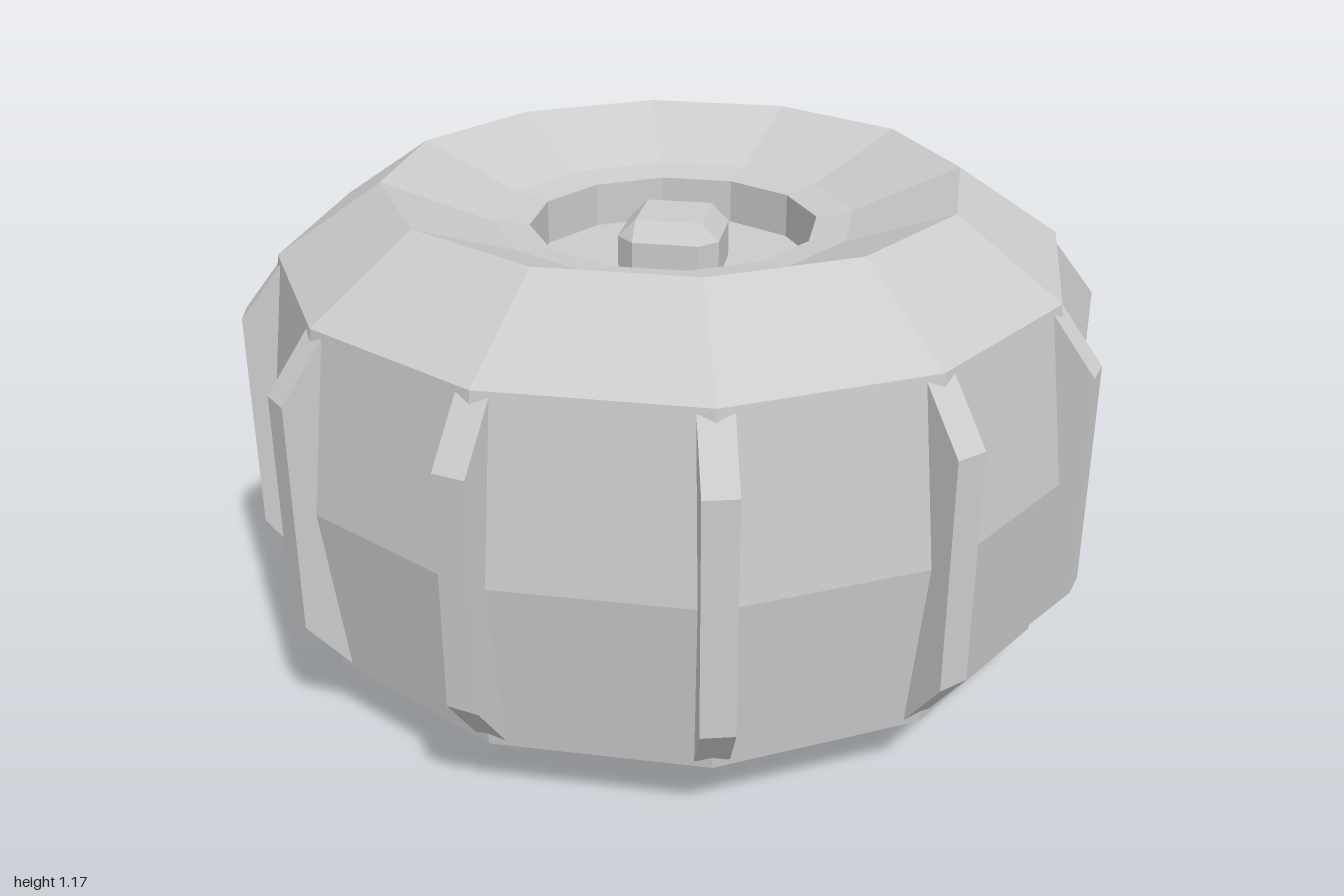
import * as THREE from 'three';
import { ConvexGeometry } from 'three/addons/geometries/ConvexGeometry.js';

const SIDES = 12;
const MID = 0.585; // half of the height
const material = new THREE.MeshStandardMaterial({ color: 0xcccccc, flatShading: true });

function part(name, geometry) {
  const mesh = new THREE.Mesh(geometry, material);
  mesh.name = name;
  return mesh;
}

// Twelve-sided ring; the profile gives flat-to-centre distances and heights above the middle
function lathe(profile) {
  const k = 1 / Math.cos(Math.PI / SIDES);
  const points = profile.map(([r, y]) => new THREE.Vector2(r * k, y));
  return new THREE.LatheGeometry(points, SIDES, Math.PI / SIDES);
}

// Box with every edge cut at 45 degrees
function chamferedBox(x, y, z, cut) {
  const points = [];
  for (const sx of [-1, 1]) for (const sy of [-1, 1]) for (const sz of [-1, 1]) {
    for (const full of [0, 1, 2]) {
      const c = [x, y, z].map((h, i) => (i === full ? h : h - cut));
      points.push(new THREE.Vector3(sx * c[0], sy * c[1], sz * c[2]));
    }
  }
  return new ConvexGeometry(points);
}

export function createModel() {
  const model = new THREE.Group();
  model.name = 'wheel';

  // Tyre: recessed hub wall, dished sidewall, shoulder and bulging tread, mirrored top to bottom
  const upper = [[0.95, 0], [0.9, 0.415], [0.66, 0.585], [0.415, 0.485], [0.33, 0.472], [0.33, 0.36]];
  const lower = upper.slice(1).reverse().map(([r, y]) => [r, -y]);
  const tyre = part('tyre', lathe([...lower, ...upper]));
  tyre.position.y = MID;
  model.add(tyre);

  // Hub floor on both sides
  const hub = part('hub', lathe([[0, -0.365], [0.331, -0.365], [0.331, 0.365], [0, 0.365]]));
  hub.position.y = MID;
  model.add(hub);

  // Axle showing as a chamfered knob on each side
  const axle = part('axle', chamferedBox(0.12, 0.495, 0.12, 0.042));
  axle.position.y = MID;
  model.add(axle);

  // Tread ribs with sloping ends, one on each corner of the tread
  const width = 0.075;
  const shape = new THREE.Shape([
    [0.85, -0.4], [0.925, -0.4], [1.025, -0.27], [1.025, 0.27], [0.925, 0.4], [0.85, 0.4],
  ].map(([r, y]) => new THREE.Vector2(r, y)));
  const ribGeometry = new THREE.ExtrudeGeometry(shape, { depth: width, bevelEnabled: false });
  ribGeometry.translate(0, 0, -width / 2);
  const ribs = new THREE.Group();
  ribs.name = 'treadRibs';
  for (let i = 0; i < SIDES; i++) {
    const rib = part('treadRib', ribGeometry);
    rib.position.y = MID;
    rib.rotation.y = ((i + 0.5) / SIDES) * Math.PI * 2;
    ribs.add(rib);
  }
  model.add(ribs);

  return model;
}
